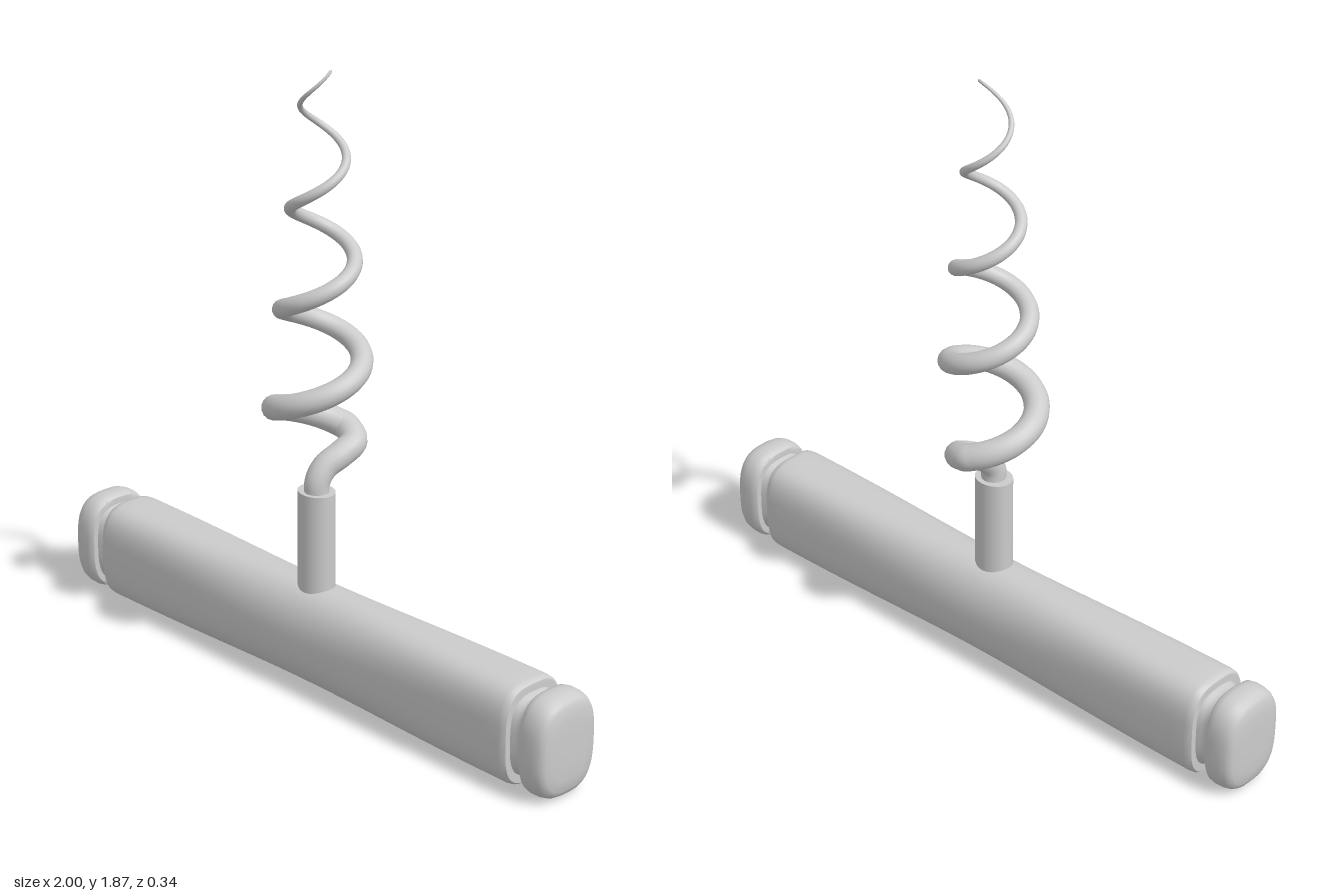
import * as THREE from 'three';
import { toCreasedNormals } from 'three/addons/utils/BufferGeometryUtils.js';

const material = new THREE.MeshStandardMaterial({ color: 0xcccccc });

function part(name, geometry) {
  const mesh = new THREE.Mesh(geometry, material);
  mesh.name = name;
  return mesh;
}

// Skin over rounded-square rings along x; each section is [x, scale, squareness]
function loft(sections, halfY = 0.155, halfZ = 0.116, sides = 48) {
  const pos = [], index = [];
  sections.forEach(([x, s, n]) => {
    for (let j = 0; j < sides; j++) {
      const a = (j / sides) * Math.PI * 2;
      const c = Math.cos(a), d = Math.sin(a);
      pos.push(x,
        halfY * s * Math.sign(c) * Math.abs(c) ** (2 / n),
        halfZ * s * Math.sign(d) * Math.abs(d) ** (2 / n));
    }
  });
  for (let i = 0; i < sections.length - 1; i++) {
    for (let j = 0; j < sides; j++) {
      const a = i * sides + j, b = i * sides + (j + 1) % sides;
      index.push(a, b, a + sides, b, b + sides, a + sides);
    }
  }
  const g = new THREE.BufferGeometry();
  g.setAttribute('position', new THREE.Float32BufferAttribute(pos, 3));
  g.setIndex(index);
  return toCreasedNormals(g, 0.7);
}

// Grip: squarish at the ends, rounder at the middle
function gripGeometry() {
  const end = [[0.855, 0.001], [0.86, 0.9], [0.859, 0.95], [0.852, 0.985], [0.835, 1]];
  const sections = end.map(([x, s]) => [-x, s, 3.2]);
  for (let i = 1; i < 32; i++) {
    const x = -0.835 + (1.67 * i) / 32;
    const mid = 0.5 + 0.5 * Math.cos((x / 0.835) * Math.PI);
    sections.push([x, 1, 3.2 - 1.0 * mid]);
  }
  end.reverse().forEach(([x, s]) => sections.push([x, s, 3.2]));
  return loft(sections);
}

// Knob and its narrow neck at one end of the grip
function endKnob() {
  const g = new THREE.Group();
  g.name = 'endKnob';
  const neck = [[0.84, 0.8], [0.862, 0.8], [0.872, 0.76], [0.892, 0.76], [0.902, 0.8], [0.915, 0.8]];
  const knob = [[0.908, 0.001], [0.904, 0.85], [0.905, 0.93], [0.912, 0.975], [0.93, 1],
    [0.955, 0.995], [0.975, 0.965], [0.988, 0.91], [0.995, 0.82], [0.999, 0.6], [1, 0.3], [1, 0.001]];
  g.add(part('neck', loft(neck.map(([x, s]) => [x, s, 3]))));
  g.add(part('knob', loft(knob.map(([x, s]) => [x, s, 2.9]))));
  return g;
}

// Tapered wire: a bent root leading into a narrowing spiral
function wormGeometry() {
  const points = [
    [0, 0.57, 0.015], [0, 0.635, 0.014], [0.005, 0.675, -0.012],
    [0.02, 0.705, -0.06], [0.02, 0.73, -0.11],
  ].map((p) => new THREE.Vector3(...p));
  const y0 = 0.755, y1 = 1.867, steps = 130;
  for (let i = 0; i <= steps; i++) {
    const y = y0 + ((y1 - y0) * i) / steps;
    const t = (Math.PI * 2 * (y - 0.97)) / 0.3;
    const k = i / steps;
    const r = 0.137 - 0.07 * k - 0.02 * k * k;
    points.push(new THREE.Vector3(r * Math.cos(t) - 0.006 * (1 - k), y, -r * Math.sin(t)));
  }
  const curve = new THREE.CatmullRomCurve3(points);
  curve.arcLengthDivisions = 1500;
  const rings = 420, sides = 16;
  const g = new THREE.TubeGeometry(curve, rings, 1, sides);
  const pos = g.attributes.position, v = new THREE.Vector3();
  for (let i = 0; i <= rings; i++) {
    const p = curve.getPointAt(i / rings);
    const k = Math.max(0, (p.y - 0.75) / (1.867 - 0.75));
    const root = THREE.MathUtils.smoothstep(p.y, 0.6, 0.75);
    const radius = i === rings ? 0.0005 : 0.037 + 0.004 * root - 0.037 * k;
    for (let j = 0; j <= sides; j++) {
      const n = i * (sides + 1) + j;
      v.fromBufferAttribute(pos, n).sub(p).multiplyScalar(radius).add(p);
      pos.setXYZ(n, v.x, v.y, v.z);
    }
  }
  return g;
}

export function createModel() {
  const model = new THREE.Group();
  model.name = 'corkscrew';

  const handle = new THREE.Group();
  handle.name = 'handle';
  handle.position.set(0, 0.155, 0.012);
  handle.add(part('grip', gripGeometry()));
  const left = endKnob();
  const right = endKnob();
  right.rotation.y = Math.PI;
  handle.add(left, right);
  model.add(handle);

  // Slightly oval shank between handle and wire
  const shank = part('shank', new THREE.CylinderGeometry(1, 1, 0.41, 32));
  shank.scale.set(0.06, 1, 0.051);
  shank.position.set(-0.003, 0.4, 0.015);
  model.add(shank);

  model.add(part('worm', wormGeometry()));
  return model;
}
